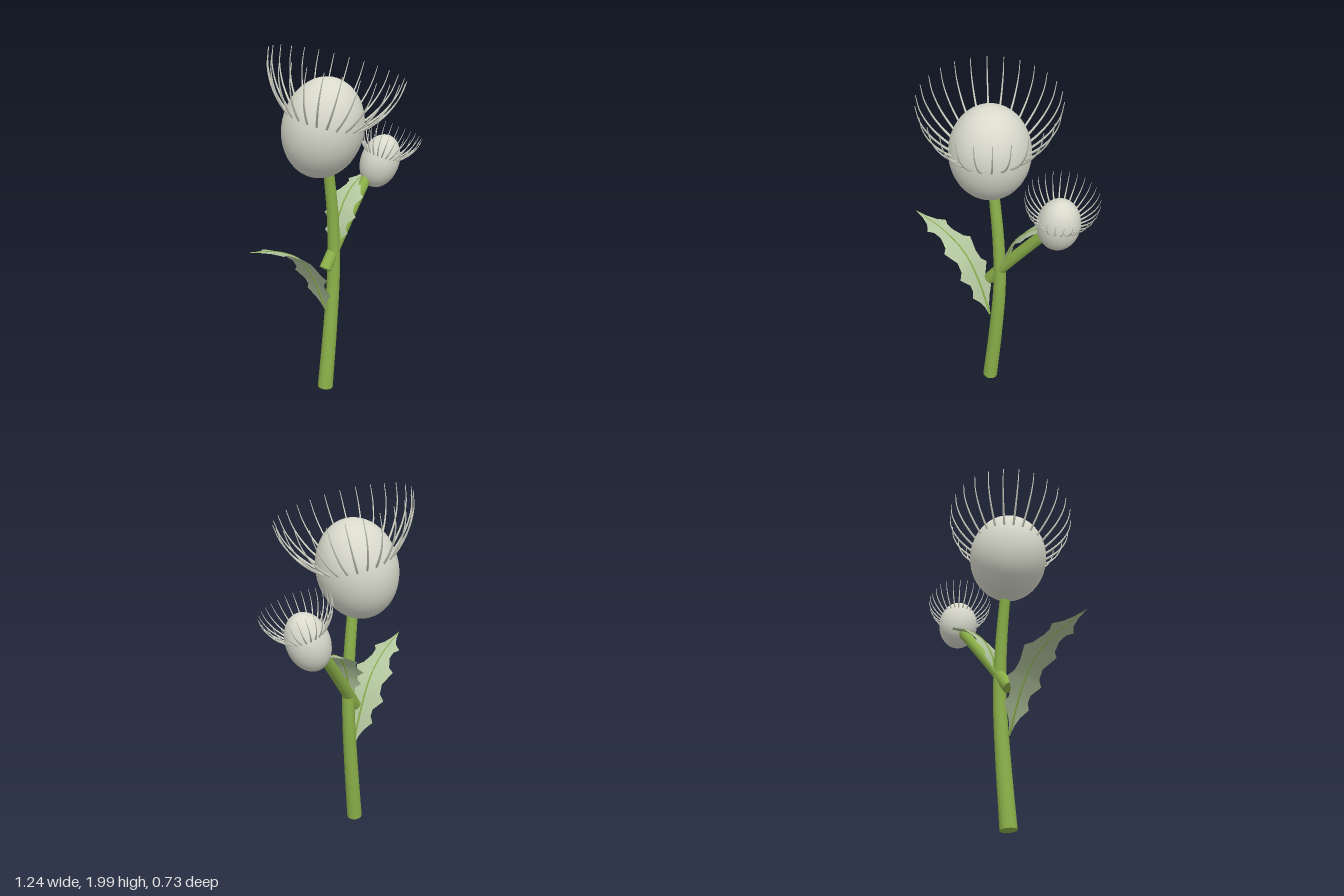
import * as THREE from 'three';

const V = (x, y, z) => new THREE.Vector3(x, y, z);
const curveOf = (pts) => new THREE.CatmullRomCurve3(pts.map((p) => V(...p)));

// Round tube along a curve, narrowing from r0 to r1
function taperedTube(curve, r0, r1, segments, sides) {
  const geo = new THREE.TubeGeometry(curve, segments, 1, sides, false);
  const pos = geo.attributes.position;
  const v = V();
  for (let i = 0; i <= segments; i++) {
    const c = curve.getPointAt(i / segments);
    const r = r0 + (r1 - r0) * (i / segments);
    for (let j = 0; j <= sides; j++) {
      const k = i * (sides + 1) + j;
      v.fromBufferAttribute(pos, k).sub(c).multiplyScalar(r).add(c);
      pos.setXYZ(k, v.x, v.y, v.z);
    }
  }
  return geo;
}

function named(name, geo, mat) {
  const mesh = new THREE.Mesh(geo, mat);
  mesh.name = name;
  return mesh;
}

// Stalk: tapered tube with flat end caps
function makeStalk(name, pts, r0, r1, mat) {
  const group = new THREE.Group();
  group.name = name;
  const curve = curveOf(pts);
  group.add(named('stalk', taperedTube(curve, r0, r1, 24, 16), mat));
  for (const [t, r, s] of [[0, r0, -1], [1, r1, 1]]) {
    const cap = named('stalkEnd', new THREE.CircleGeometry(r, 16), mat);
    cap.position.copy(curve.getPointAt(t));
    cap.quaternion.setFromUnitVectors(V(0, 0, 1), curve.getTangentAt(t).multiplyScalar(s));
    group.add(cap);
  }
  return group;
}

// Flower: egg-shaped head with a ring of upswept bristles
function makeFlower(name, { center, axis, scale, stretch, lift, count, thickness }, mat) {
  const group = new THREE.Group();
  group.name = name;
  const head = new THREE.SphereGeometry(0.22, 36, 24);
  head.scale(1, stretch, 1);
  group.add(named('head', head, mat));
  const bristle = taperedTube(curveOf([
    [0, 0.035, 0.2], [0, 0.085, 0.252], [0, 0.16, 0.31], [0, 0.255, 0.353], [0, 0.345, 0.367],
  ]), thickness, 0.002, 12, 6);
  for (let i = 0; i < count; i++) {
    const b = named('bristle', bristle, mat);
    b.rotation.y = (i / count) * Math.PI * 2;
    b.position.y = lift;
    group.add(b);
  }
  group.position.set(...center);
  group.quaternion.setFromUnitVectors(V(0, 1, 0), V(...axis).normalize());
  group.scale.setScalar(scale);
  return group;
}

// Outline of a spiny leaf: position along the midrib, half width
const LEAF_EDGE = [
  [0, 0.005], [0.07, 0.02], [0.13, 0.045], [0.2, 0.09], [0.24, 0.07], [0.29, 0.072],
  [0.37, 0.124], [0.41, 0.092], [0.48, 0.085], [0.59, 0.12], [0.62, 0.085], [0.7, 0.058],
  [0.76, 0.06], [0.8, 0.083], [0.85, 0.04], [0.92, 0.016], [1, 0.001],
];

function makeLeaf(name, pts, widthScale, leafMat, ribMat) {
  const group = new THREE.Group();
  group.name = name;
  const curve = curveOf(pts);
  const run = curve.getPoint(1).sub(curve.getPoint(0)).setY(0).normalize();
  const side = V(0, 1, 0).cross(run);
  const verts = [];
  const index = [];
  LEAF_EDGE.forEach(([t, w], i) => {
    const c = curve.getPointAt(t);
    for (const s of [-1, 0, 1]) {
      const p = c.clone().addScaledVector(side, s * w * widthScale);
      // edges sag slightly below the midrib
      verts.push(p.x, p.y - Math.abs(s) * w * 0.1, p.z);
    }
    if (i === 0) return;
    const a = (i - 1) * 3;
    for (const k of [a, a + 1]) index.push(k, k + 1, k + 3, k + 1, k + 4, k + 3);
  });
  const blade = new THREE.BufferGeometry();
  blade.setAttribute('position', new THREE.Float32BufferAttribute(verts, 3));
  blade.setIndex(index);
  blade.computeVertexNormals();
  group.add(named('blade', blade, leafMat));
  group.add(named('midrib', taperedTube(curve, 0.007, 0.002, 24, 6), ribMat));
  return group;
}

export function createModel() {
  const green = new THREE.MeshStandardMaterial({ color: 0x8cb14a });
  green.name = 'stem green';
  const sage = new THREE.MeshStandardMaterial({ color: 0xb2c69e, side: THREE.DoubleSide });
  sage.name = 'leaf sage';
  const grey = new THREE.MeshStandardMaterial({ color: 0xd9dacc });
  grey.name = 'flower grey';

  const model = new THREE.Group();
  model.name = 'thistle';

  // Stems
  model.add(makeStalk('mainStem', [
    [-0.07, 0.006, -0.064], [-0.025, 0.4, -0.064], [0.003, 0.75, -0.063],
    [-0.005, 1.05, -0.06], [-0.045, 1.4, -0.06],
  ], 0.045, 0.029, green));
  model.add(makeStalk('sideStem', [
    [-0.068, 0.765, -0.06], [0.06, 0.93, -0.069], [0.29, 1.205, -0.09], [0.34, 1.26, -0.09],
  ], 0.035, 0.03, green));

  // Flowers
  model.add(makeFlower('largeFlower', {
    center: [-0.07, 1.572, -0.067], axis: [0.15, 1, 0.19],
    scale: 1, stretch: 1.24, lift: 0, count: 26, thickness: 0.007,
  }, grey));
  model.add(makeFlower('smallFlower', {
    center: [0.386, 1.311, -0.064], axis: [0.24, 1, 0.23],
    scale: 0.515, stretch: 1.41, lift: 0.045, count: 28, thickness: 0.0095,
  }, grey));

  // Leaves
  model.add(makeLeaf('lowerLeaf', [
    [-0.065, 0.5, -0.055], [-0.15, 0.71, -0.055], [-0.255, 0.87, -0.052],
    [-0.41, 0.965, -0.045], [-0.62, 1.023, -0.035],
  ], 1, sage, green));
  model.add(makeLeaf('upperLeaf', [
    [0.02, 0.85, -0.072], [0.045, 0.98, -0.082], [0.105, 1.095, -0.095],
    [0.2, 1.18, -0.115], [0.39, 1.25, -0.15],
  ], 0.85, sage, green));

  return model;
}
